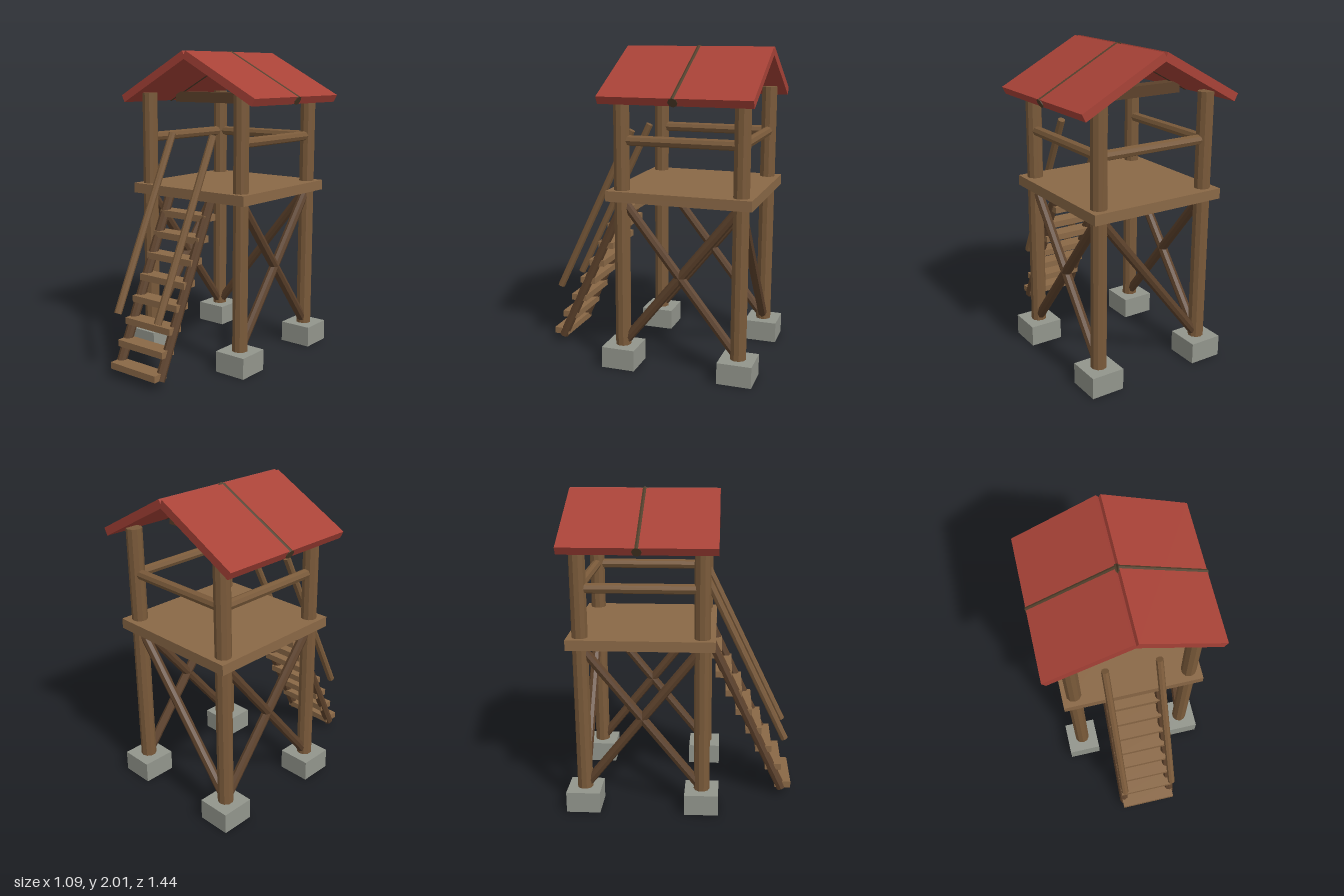
import * as THREE from 'three';

const mat = (color) => new THREE.MeshStandardMaterial({ color, flatShading: true });

export function createModel() {
  const tower = new THREE.Group();
  tower.name = 'watchtower';

  const postWood = mat(0x7a5a3a);
  const plankWood = mat(0x8a6846);
  const darkWood = mat(0x5c412b);
  const rafterWood = mat(0x4f3d29);
  const concrete = mat(0x92958c);
  const roofRed = mat(0xa84237);

  const add = (name, geometry, material) => {
    const mesh = new THREE.Mesh(geometry, material);
    mesh.name = name;
    tower.add(mesh);
    return mesh;
  };
  const box = (name, size, pos, material) => {
    const mesh = add(name, new THREE.BoxGeometry(...size), material);
    mesh.position.set(...pos);
    return mesh;
  };
  // Round pole between two points
  const pole = (name, from, to, radius, material, sides = 8) => {
    const a = new THREE.Vector3(...from);
    const dir = new THREE.Vector3(...to).sub(a);
    const length = dir.length();
    const mesh = add(name, new THREE.CylinderGeometry(radius, radius, length, sides), material);
    mesh.position.copy(a).addScaledVector(dir, 0.5);
    mesh.quaternion.setFromUnitVectors(new THREE.Vector3(0, 1, 0), dir.divideScalar(length));
    return mesh;
  };

  const X = 0.375, ZF = 0.135, ZB = -0.615, ZM = -0.24;

  // Footings and corner posts
  for (const x of [-X, X]) {
    for (const z of [ZF, ZB]) {
      box('footing', [0.215, 0.135, 0.215], [x, 0.0675, z], concrete);
      pole('post', [x, 0.1, z], [x, 1.735, z], 0.05, postWood, 10);
    }
  }

  // Platform
  box('deck', [0.905, 0.065, 0.91], [0, 1.107, ZM], plankWood);

  // Cross braces on the sides, one diagonal at the back
  const low = 0.14, high = 1.08;
  for (const x of [-X, X]) {
    pole('sideBrace', [x, low, ZF], [x, high, ZB], 0.031, darkWood);
    pole('sideBrace', [x, high, ZF], [x, low, ZB], 0.031, darkWood);
    pole('sideRail', [x, 1.445, ZF], [x, 1.445, ZB], 0.032, postWood);
  }
  pole('backBrace', [-X, low, ZB], [X, high, ZB], 0.031, darkWood);
  pole('backRail', [-X, 1.445, ZB], [X, 1.445, ZB], 0.032, postWood);

  // Roof: tie beam, two slabs and a rafter set into each
  box('tieBeam', [0.885, 0.07, 0.085], [0, 1.7, ZM], darkWood);
  const pitch = 0.49;
  for (const s of [-1, 1]) {
    const slab = box('roofSlab', [0.598, 0.051, 0.94], [s * 0.265, 1.836, ZM], roofRed);
    slab.rotation.z = -s * pitch;
    const dx = 0.304 * Math.cos(pitch), dy = 0.304 * Math.sin(pitch);
    pole('rafter', [s * (0.265 - dx), 1.836 + dy, ZM], [s * (0.265 + dx), 1.836 - dy, ZM], 0.03, rafterWood);
  }

  // Ladder: stringers, handrails and treads
  for (const x of [-0.17, 0.17]) {
    pole('stringer', [x, 0.045, 0.66], [x, 1.09, 0.17], 0.031, darkWood);
    pole('handrail', [x * 0.98, 0.4, 0.67], [x * 0.98, 1.48, 0.15], 0.024, postWood);
  }
  for (let i = 0; i < 8; i++) {
    box('tread', [0.37, 0.042, 0.105], [0, 0.075 + i * 0.128, 0.668 - i * 0.067], plankWood);
  }

  return tower;
}
